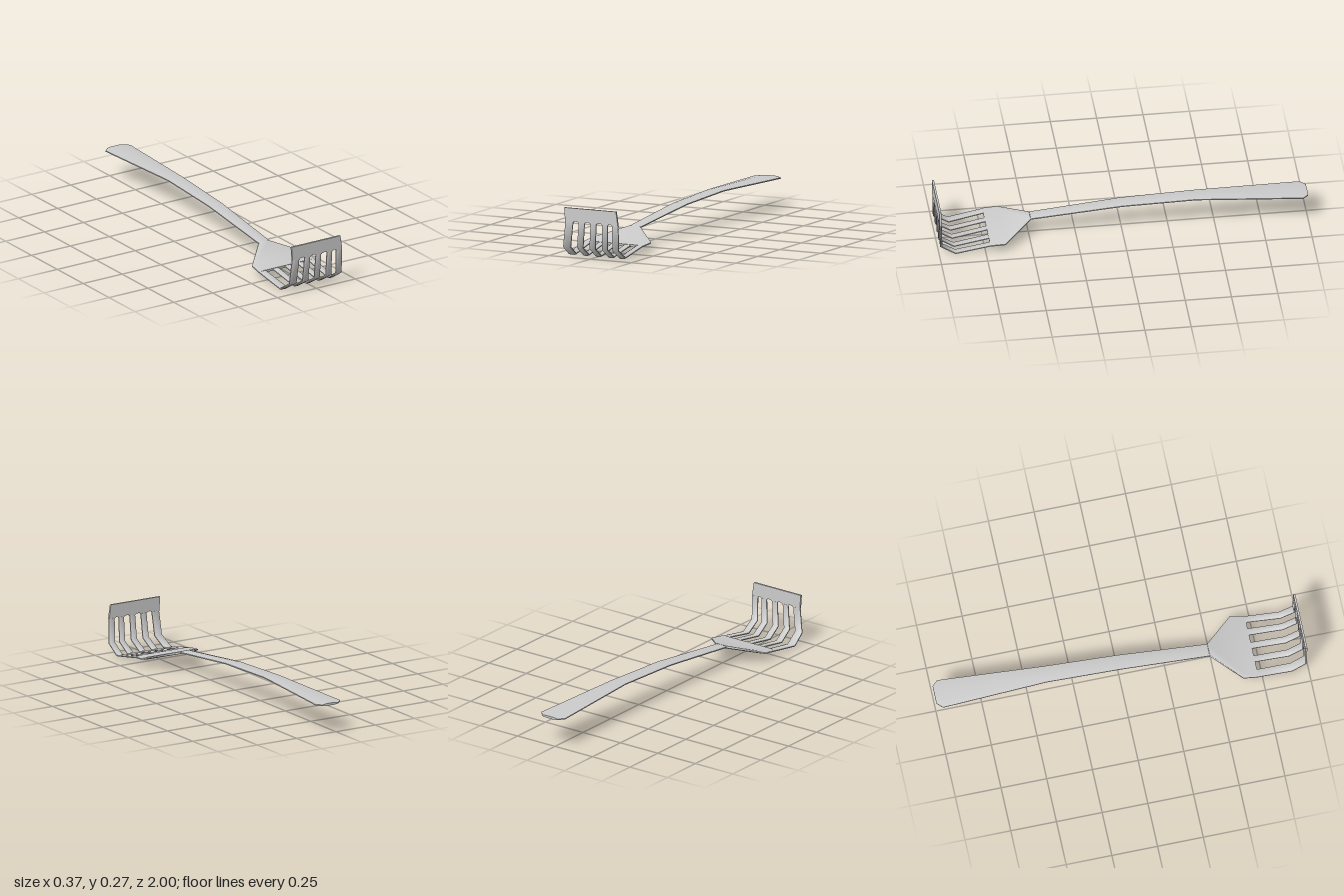
import * as THREE from 'three';
import { toCreasedNormals } from 'three/addons/utils/BufferGeometryUtils.js';

const material = new THREE.MeshStandardMaterial({ color: 0xcccccc });

// Sweeps a thin, soft-edged strip through stations [xLeft, xRight, y, z].
function strip(stations, t, edge = 0.2) {
  const section = [[0, -0.22], [edge, -0.5], [1 - edge, -0.5], [1, -0.22], [1, 0.22], [1 - edge, 0.5], [edge, 0.5], [0, 0.22]];
  const n = section.length, last = stations.length - 1;
  const pos = [], index = [];
  const direction = (a, b) => new THREE.Vector2(b[3] - a[3], b[2] - a[2]).normalize();
  stations.forEach((s, i) => {
    const before = direction(stations[Math.max(i - 1, 0)], stations[Math.max(i, 1)]);
    const after = direction(stations[Math.min(i, last - 1)], stations[Math.min(i + 1, last)]);
    const dir = before.clone().add(after).normalize();
    const miter = t / Math.max(dir.dot(before), 0.5);
    for (const [u, v] of section) {
      pos.push(s[0] + (s[1] - s[0]) * u, s[2] + dir.x * v * miter, s[3] - dir.y * v * miter);
    }
  });
  for (let s = 0; s < last; s++) {
    for (let i = 0; i < n; i++) {
      const j = (i + 1) % n, a = s * n + i, b = s * n + j;
      index.push(a, b, b + n, a, b + n, a + n);
    }
  }
  const e = last * n;
  for (let i = 1; i < n - 1; i++) {
    index.push(0, i + 1, i, e, e + i, e + i + 1);
  }
  const geometry = new THREE.BufferGeometry();
  geometry.setAttribute('position', new THREE.Float32BufferAttribute(pos, 3));
  geometry.setIndex(index);
  return toCreasedNormals(geometry, 1.1);
}

export function createModel() {
  const model = new THREE.Group();
  const add = (name, geometry) => {
    const mesh = new THREE.Mesh(geometry, material);
    mesh.name = name;
    model.add(mesh);
  };

  // Long bowed handle, widening to a clipped end
  add('handle', strip([
    [-0.015, 0.085, 0.16, -1],
    [-0.045, 0.113, 0.161, -0.97],
    [-0.023, 0.069, 0.172, -0.4],
    [-0.028, 0.055, 0.155, 0],
    [-0.034, 0.035, 0.102, 0.49],
  ], 0.013, 0.25));

  // Flared shoulder between handle and tines
  add('shoulder', strip([
    [-0.034, 0.035, 0.102, 0.49],
    [-0.178, 0.182, 0.052, 0.645],
    [-0.185, 0.171, 0.042, 0.725],
  ], 0.014, 0.08));

  // Tines: left and right edges at the shoulder, the low bend, the front bend and the top
  const tines = [
    [[-0.184, -0.14], [-0.177, -0.13], [-0.168, -0.122], [-0.152, -0.106]],
    [[-0.096, -0.06], [-0.09, -0.052], [-0.084, -0.047], [-0.072, -0.036]],
    [[-0.018, 0.018], [-0.013, 0.024], [-0.009, 0.027], [0, 0.034]],
    [[0.06, 0.098], [0.064, 0.1], [0.066, 0.101], [0.071, 0.104]],
    [[0.134, 0.17], [0.13, 0.168], [0.13, 0.168], [0.13, 0.167]],
  ];
  const path = [[0.043, 0.715], [0.008, 0.912], [0.057, 0.989], [0.194, 0.993]];
  tines.forEach((edges, i) => {
    add('tine' + (i + 1), strip(edges.map((e, k) => [...e, ...path[k]]), 0.012, 0.25));
  });

  // Upright crossbar with rounded slot ends between the tines
  const bar = new THREE.Shape();
  bar.moveTo(-0.158, 0.27);
  bar.lineTo(-0.152, 0.191);
  for (let i = 0; i < 4; i++) {
    const a = tines[i][3][1], b = tines[i + 1][3][0];
    bar.lineTo(a, 0.191);
    bar.bezierCurveTo(a + 0.006, 0.201, b - 0.006, 0.201, b, 0.191);
  }
  bar.lineTo(0.167, 0.191);
  bar.lineTo(0.155, 0.27);
  const crossbar = new THREE.ExtrudeGeometry(bar, { depth: 0.011, bevelEnabled: false, curveSegments: 6 });
  crossbar.translate(0, 0, 0.988);
  add('crossbar', crossbar);

  return model;
}
